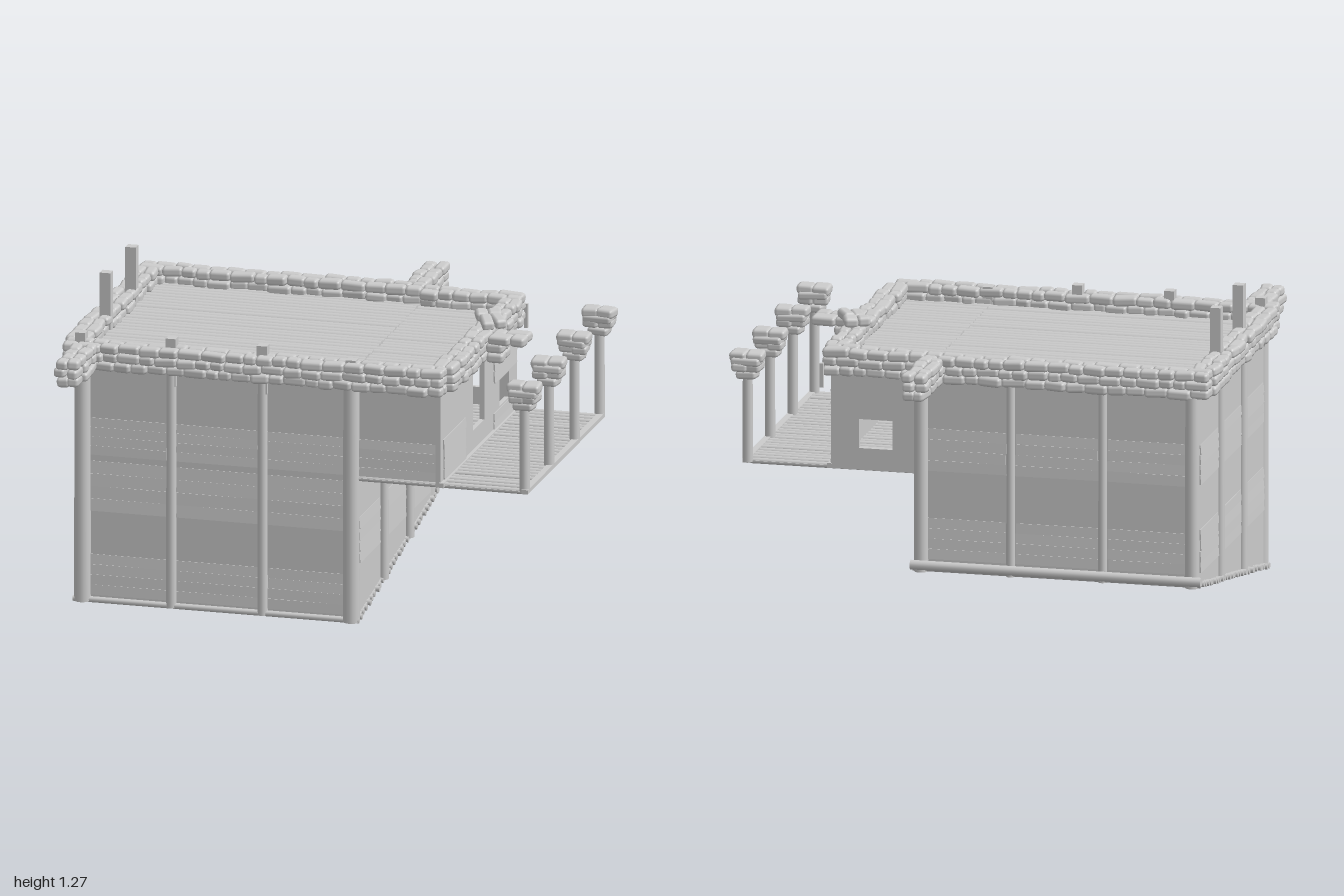
import * as THREE from 'three';
import { mergeGeometries } from 'three/addons/utils/BufferGeometryUtils.js';
import { RoundedBoxGeometry } from 'three/addons/geometries/RoundedBoxGeometry.js';

const mat = new THREE.MeshStandardMaterial({ color: 0xcccccc, roughness: 0.9 });

// Small seeded generator; rnd(a) gives a value in -a..a
let seed = 7;
const rnd = (a) => {
  seed = (seed * 16807) % 2147483647;
  return (seed / 2147483647 * 2 - 1) * a;
};

const floorY = (z) => 0.012 + (0.57 - z) * 0.178; // sloping underside
const XS = [-0.91, -0.54, -0.16, 0.21];           // post lines, front and back
const ZS = [0.565, 0.19, -0.185, -0.55];          // post lines, sides

function add(parent, name, geo, x = 0, y = 0, z = 0) {
  const m = new THREE.Mesh(geo, mat);
  m.name = name;
  m.position.set(x, y, z);
  parent.add(m);
  return m;
}

function post(parent, name, x, z, y0, y1, r) {
  return add(parent, name, new THREE.CylinderGeometry(r * 0.95, r, y1 - y0, 14), x, (y0 + y1) / 2, z);
}

// Row of round poles along x, placed side by side in z
function poles(parent, name, x0, x1, z0, z1, yAt, r = 0.017) {
  const n = Math.round((z1 - z0) / 0.04);
  const list = [];
  for (let i = 0; i < n; i++) {
    const z = z0 + (i + 0.5) * (z1 - z0) / n;
    const g = new THREE.CylinderGeometry(r, r, x1 - x0 + rnd(0.008), 10);
    g.rotateZ(Math.PI / 2);
    g.translate((x0 + x1) / 2, yAt(z) + rnd(0.002), z);
    list.push(g);
  }
  add(parent, name, mergeGeometries(list));
}

// A wall group: local x runs along the wall, local +z points outward
function face(parent, name, x, z, ry) {
  const g = new THREE.Group();
  g.name = name;
  g.position.set(x, 0, z);
  g.rotation.y = ry;
  parent.add(g);
  return g;
}

function wall(parent, pts, holes = []) {
  const s = new THREE.Shape(pts.map((p) => new THREE.Vector2(...p)));
  for (const [a, b, c, d] of holes) {
    s.holes.push(new THREE.Path([[a, c], [a, d], [b, d], [b, c]].map((p) => new THREE.Vector2(...p))));
  }
  const geo = new THREE.ExtrudeGeometry(s, { depth: 0.02, bevelEnabled: false });
  add(parent, 'wallPanel', geo, 0, 0, -0.02);
}

// Overlapping horizontal boards with slightly uneven edges
function boards(parent, u0, u1, y0, y1, n = 4) {
  const list = [], h = (y1 - y0) / n;
  for (let i = 0; i < n; i++) {
    const g = new THREE.BoxGeometry(u1 - u0 + rnd(0.006), h * 0.97, 0.006);
    g.rotateX(-0.07 + rnd(0.02));
    g.rotateZ(rnd(0.004));
    g.translate((u0 + u1) / 2, y0 + (i + 0.5) * h, 0.002);
    list.push(g);
  }
  add(parent, 'wallBoards', mergeGeometries(list));
}

function stone(list, x, y, z, lx, ly, lz, ry = 0) {
  const g = new RoundedBoxGeometry(lx, ly, lz, 1, Math.min(lx, ly, lz) * 0.36);
  g.rotateX(rnd(0.06));
  g.rotateZ(rnd(0.06));
  g.rotateY(ry + rnd(0.12));
  g.translate(x, y, z);
  list.push(g);
}

// Dry-stone course from a to b (x,z points): layers of stones two abreast
function stoneRun(parent, name, a, b, y0 = 0.985, layers = 3, w = 0.095) {
  const list = [], dx = b[0] - a[0], dz = b[1] - a[1], len = Math.hypot(dx, dz);
  const ux = dx / len, uz = dz / len, ry = Math.atan2(-dz, dx), h = 0.036;
  for (let k = 0; k < layers; k++) {
    for (const side of [-1, 1]) {
      let t = 0;
      while (t < len - 0.01) {
        let l = 0.075 + rnd(0.025);
        if (len - t - l < 0.04) l = len - t;
        const c = t + l / 2, o = side * w * 0.25 + rnd(0.006);
        stone(list, a[0] + ux * c - uz * o, y0 + (k + 0.5) * h + rnd(0.003), a[1] + uz * c + ux * o,
          l * 1.04, h * 1.12 + rnd(0.003), w * 0.54 + rnd(0.006), ry);
        t += l;
      }
    }
  }
  add(parent, name, mergeGeometries(list));
}

export function createModel() {
  const model = new THREE.Group();
  model.name = 'stoneTopHouse';
  seed = 7;

  // Front wall with boarded bays and the overhanging upper room
  const front = face(model, 'frontWall', 0, 0.56, 0);
  wall(front, [[-0.93, 0.012], [0.23, 0.012], [0.23, 0.6], [0.58, 0.6], [0.58, 1], [-0.93, 1]]);
  const frontBays = [...XS, 0.58];
  for (let i = 0; i < 4; i++) {
    const a = frontBays[i] + 0.02, b = frontBays[i + 1] - (i < 3 ? 0.02 : 0);
    boards(front, a, b, 0.615, 0.77, 4);
    if (i < 3) {
      boards(front, a, b, 0.38, 0.59, 4);
      boards(front, a, b, 0.03, 0.2, 4);
    }
  }

  // Back wall with a small window in the upper room
  const back = face(model, 'backWall', 0, -0.55, Math.PI);
  wall(back, [[0.93, 0.21], [0.93, 1], [-0.58, 1], [-0.58, 0.6], [-0.23, 0.6], [-0.23, 0.21]], [[-0.47, -0.33, 0.69, 0.81]]);
  for (let i = 0; i < 3; i++) {
    const a = -XS[i + 1] + 0.02, b = -XS[i] - 0.02;
    boards(back, a, b, 0.615, 0.79, 4);
    boards(back, a, b, 0.25, 0.42, 4);
  }

  // Outer (-x) side wall
  const outer = face(model, 'outerSideWall', -0.93, 0, -Math.PI / 2);
  wall(outer, [[-0.55, floorY(-0.55)], [0.56, floorY(0.56)], [0.56, 1], [-0.55, 1]]);

  // Lower wall under the overhang, and the balcony wall above it
  const lower = face(model, 'lowerSideWall', 0.23, 0, Math.PI / 2);
  wall(lower, [[-0.56, floorY(0.56)], [0.55, floorY(-0.55)], [0.55, 0.61], [-0.56, 0.61]]);
  const upper = face(model, 'balconyWall', 0.585, 0, Math.PI / 2);
  wall(upper, [[-0.58, 0.6], [0.545, 0.6], [0.545, 1], [-0.58, 1]],
    [[-0.1, 0.065, 0.7, 0.97], [0.29, 0.43, 0.69, 0.8]]);
  boards(upper, -0.54, -0.22, 0.62, 0.79, 4);
  boards(upper, 0.2, 0.53, 0.615, 0.685, 2);
  boards(upper, 0.2, 0.53, 0.81, 0.96, 3);
  for (let i = 0; i < 3; i++) {
    const a = -ZS[i] + 0.035, b = -ZS[i + 1] - 0.035;
    if (i) boards(lower, a, b, 0.24, 0.43, 5);
    else boards(lower, a, b, 0.24, 0.43, 4);
    boards(outer, -b, -a, 0.615, 0.78, 4);
    boards(outer, -b, -a, 0.25, 0.43, 4);
  }

  // Round wall posts
  XS.forEach((x, i) => {
    const r = i === 0 || i === 3 ? 0.034 : 0.021;
    post(model, 'frontPost', x, 0.567, 0.005, 0.99, r);
    post(model, 'backPost', x, -0.56, 0.2, 0.99, r * 0.85);
  });
  for (const z of [ZS[1], ZS[2]]) {
    post(model, 'outerSidePost', -0.93, z, floorY(z), 0.99, 0.021);
    post(model, 'lowerSidePost', 0.238, z, floorY(z), 0.6, 0.021);
  }

  // Square post ends rising above the parapet
  for (const z of [0.19, -0.185]) add(model, 'tallRoofPost', new THREE.BoxGeometry(0.044, 0.3, 0.042), -0.917, 1.12, z);
  [1.125, 1.13, 1.13, 1.1].forEach((top, i) =>
    add(model, 'shortRoofPost', new THREE.BoxGeometry(0.042, 0.2, 0.042), i ? XS[i] : -0.917, top - 0.1, 0.558));

  // Sloping ground floor with edge beams
  poles(model, 'groundFloorPoles', -0.95, 0.245, -0.585, 0.59, (z) => floorY(z), 0.012);
  const slab = add(model, 'groundFloor', new THREE.BoxGeometry(1.17, 0.008, 1.17), -0.35, floorY(0) + 0.004, 0);
  slab.rotation.x = Math.atan(0.178);
  const log = add(model, 'backBaseLog', new THREE.CylinderGeometry(0.02, 0.02, 1.2, 12), -0.355, 0.232, -0.592);
  log.rotation.z = Math.PI / 2;

  // Roof deck
  add(model, 'roofSlab', new THREE.BoxGeometry(1.5, 0.02, 1.1), -0.17, 0.99, 0.005);
  poles(model, 'roofPoles', -0.92, 0.195, -0.52, 0.55, () => 1.012, 0.02);
  poles(model, 'roofPolesOverhang', 0.197, 0.57, -0.52, 0.55, () => 1.01, 0.02);

  // Overhang floor and balcony
  poles(model, 'balconyFloorPoles', 0.235, 0.925, -0.55, 0.58, () => 0.607, 0.012);
  add(model, 'balconyFloor', new THREE.BoxGeometry(0.69, 0.004, 1.12), 0.58, 0.607, 0.015);
  add(model, 'balconyEdgeBeam', new THREE.BoxGeometry(0.026, 0.018, 1.14), 0.937, 0.61, 0.015);
  add(model, 'balconyWallSill', new THREE.BoxGeometry(0.02, 0.02, 1.14), 0.59, 0.61, 0.018);

  // Balcony columns with stone capitals
  for (const z of [0.56, 0.2, -0.175, -0.545]) {
    post(model, 'balconyColumn', 0.93, z, 0.605, 0.965, 0.021);
    const list = [];
    stone(list, 0.93, 0.967, z, 0.085, 0.034, 0.075);
    for (const s of [-1, 1]) {
      stone(list, 0.93 + s * 0.028, 1.0, z + rnd(0.008), 0.065, 0.036, 0.09);
      stone(list, 0.93 + s * 0.033, 1.043, z + rnd(0.006), 0.072, 0.04, 0.085);
    }
    stone(list, 0.93, 1.022, z, 0.12, 0.032, 0.1);
    add(model, 'columnCapital', mergeGeometries(list));
  }

  // Stone parapet around the roof
  stoneRun(model, 'parapetFront', [-0.98, 0.575], [0.6, 0.575]);
  stoneRun(model, 'parapetBack', [-0.98, -0.54], [0.2, -0.54]);
  stoneRun(model, 'parapetBackOverhang', [0.2, -0.515], [0.62, -0.515]);
  stoneRun(model, 'parapetOuterSide', [-0.942, -0.5], [-0.942, 0.53]);
  stoneRun(model, 'parapetBalconySide', [0.585, -0.47], [0.585, 0.54]);

  // Stone spouts, and the broken one over the balcony
  stoneRun(model, 'backSpout', [0.16, -0.58], [0.16, -0.89]);
  stoneRun(model, 'frontSpout', [-0.885, 0.61], [-0.885, 0.885]);
  stoneRun(model, 'brokenSpoutBase', [0.63, 0.01], [0.7, 0.01], 0.985, 2, 0.13);
  stoneRun(model, 'brokenSpoutTip', [0.64, 0.01], [0.79, 0.01], 1.055, 1, 0.13);
  stoneRun(model, 'looseParapetStones', [0.56, -0.19], [0.64, -0.02], 1.092, 1, 0.1);
  add(model, 'cornerPeg', new THREE.BoxGeometry(0.015, 0.1, 0.015), 0.615, 0.99, -0.58);

  return model;
}
